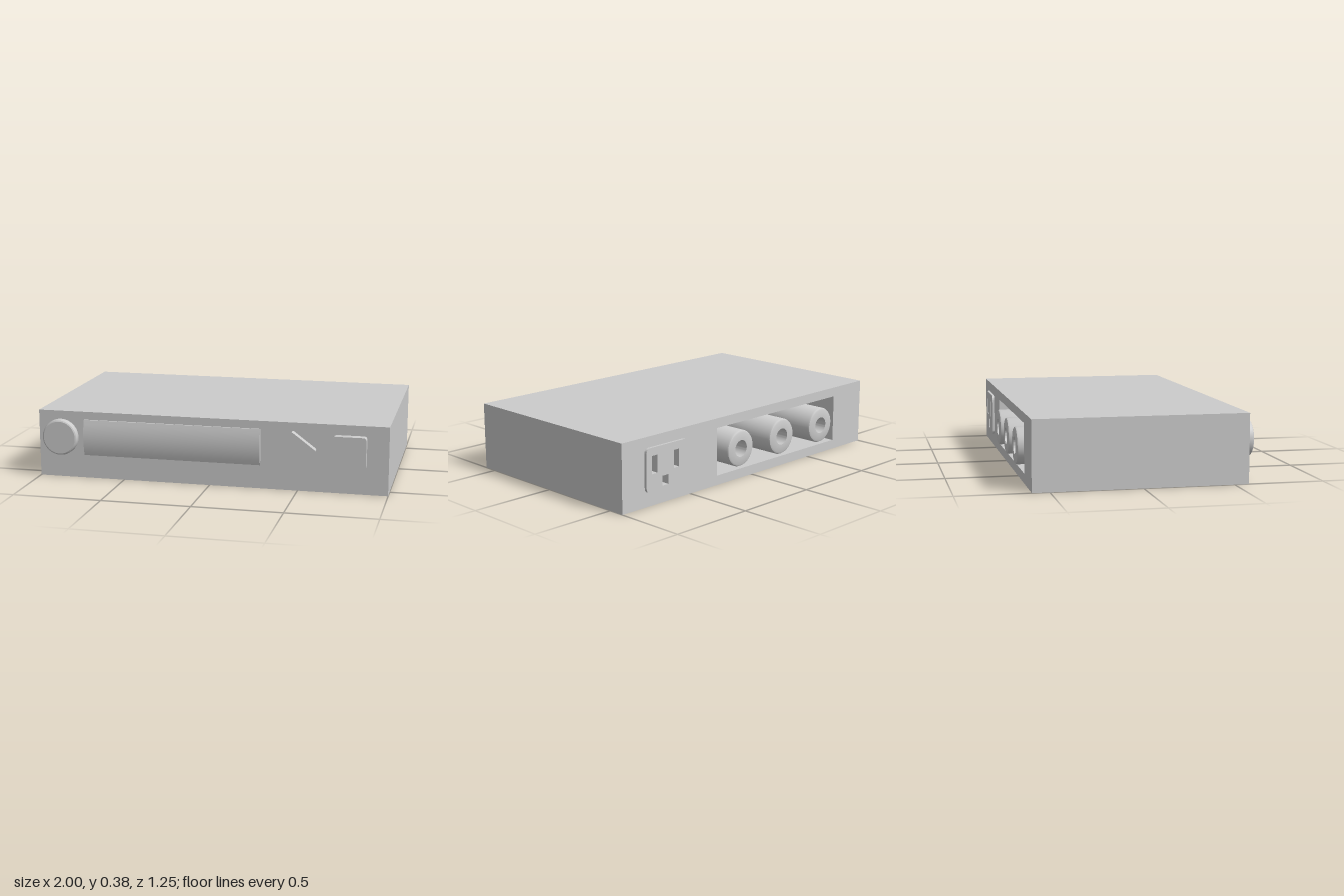
import * as THREE from 'three';
import { toCreasedNormals } from 'three/addons/utils/BufferGeometryUtils.js';

const grey = new THREE.MeshStandardMaterial({ color: 0xcccccc });
const FRONT = 0.58, BACK = -0.595, HEIGHT = 0.385;
const RECESS_END = -0.145;

function rect(Type, x0, y0, x1, y1) {
  return new Type([[x0, y0], [x1, y0], [x1, y1], [x0, y1]].map(([x, y]) => new THREE.Vector2(x, y)));
}

// Shape with rounded corners, from its corner points
function rounded(points, r) {
  const p = points.map(([x, y]) => new THREE.Vector2(x, y));
  const shape = new THREE.Shape();
  p.forEach((c, i) => {
    const prev = p[(i + p.length - 1) % p.length], next = p[(i + 1) % p.length];
    const a = prev.clone().sub(c).setLength(r).add(c);
    const b = next.clone().sub(c).setLength(r).add(c);
    if (i === 0) shape.moveTo(a.x, a.y); else shape.lineTo(a.x, a.y);
    shape.quadraticCurveTo(c.x, c.y, b.x, b.y);
  });
  shape.closePath();
  return shape;
}

export function createModel() {
  const group = new THREE.Group();

  function add(name, geometry, x = 0, y = 0, z = 0) {
    const mesh = new THREE.Mesh(geometry, grey);
    mesh.name = name;
    mesh.position.set(x, y, z);
    group.add(mesh);
    return mesh;
  }
  function extrude(shape, depth) {
    const g = new THREE.ExtrudeGeometry(shape, { depth, bevelEnabled: false, curveSegments: 8 });
    return toCreasedNormals(g, 0.5);
  }
  function lathe(points) {
    const g = new THREE.LatheGeometry(points.map(([r, h]) => new THREE.Vector2(r, h)), 48);
    return toCreasedNormals(g, 0.5);
  }

  // Power socket openings
  const slots = [[0.76, 0.18, 0.80, 0.28], [0.60, 0.18, 0.64, 0.28], [0.68, 0.10, 0.725, 0.155]];
  const cutSlots = (shape) => slots.forEach((s) => shape.holes.push(rect(THREE.Path, ...s)));

  // Casing: solid front block and a rear frame around the jack recess
  add('casingFront', new THREE.BoxGeometry(2, HEIGHT, FRONT - RECESS_END),
    0, HEIGHT / 2, (FRONT + RECESS_END) / 2);
  const rear = rect(THREE.Shape, -1, 0, 1, HEIGHT);
  rear.holes.push(rect(THREE.Path, -0.74, 0.055, 0.29, 0.33));
  cutSlots(rear);
  add('casingRear', extrude(rear, RECESS_END - BACK), 0, 0, BACK);

  // Power socket plate with slot bottoms behind it
  const plate = rounded([[0.535, 0.08], [0.84, 0.08], [0.84, 0.325], [0.535, 0.325]], 0.03);
  cutSlots(plate);
  add('socketPlate', extrude(plate, 0.015), 0, 0, BACK - 0.015);
  slots.forEach(([x0, y0, x1, y1]) =>
    add('slotBottom', new THREE.BoxGeometry(x1 - x0, y1 - y0, 0.02),
      (x0 + x1) / 2, (y0 + y1) / 2, BACK + 0.05));

  // Hollow round jacks reaching out of the recess
  const length = RECESS_END + 0.625;
  const jack = lathe([
    [0.105, 0], [0.105, length - 0.012], [0.101, length - 0.004], [0.093, length],
    [0.048, length], [0.048, length - 0.2], [0, length - 0.2],
  ]);
  jack.rotateX(-Math.PI / 2);
  [-0.58, -0.225, 0.125].forEach((x) => add('jack', jack, x, 0.185, RECESS_END));

  // Front knob with a softened rim
  const knob = lathe([
    [0.103, 0], [0.103, 0.025], [0.1, 0.033], [0.093, 0.037], [0, 0.037],
  ]);
  knob.rotateX(Math.PI / 2);
  add('knob', knob, -0.87, 0.235, FRONT);

  // Display window, gently bulged from top to bottom
  const lens = new THREE.Shape();
  lens.moveTo(0, 0.135);
  lens.lineTo(0, 0.34);
  lens.lineTo(-0.01, 0.34);
  lens.quadraticCurveTo(-0.041, 0.2375, -0.01, 0.135);
  lens.closePath();
  const display = extrude(lens, 1.02);
  display.rotateY(Math.PI / 2);
  add('display', display, -0.73, 0, FRONT);

  // Play and stop buttons
  add('playButton', extrude(rounded([[0.465, 0.13], [0.61, 0.238], [0.465, 0.346]], 0.02), 0.042), 0, 0, FRONT);
  add('stopButton', extrude(rounded([[0.695, 0.145], [0.88, 0.145], [0.88, 0.328], [0.695, 0.328]], 0.02), 0.043),
    0, 0, FRONT);

  return group;
}
